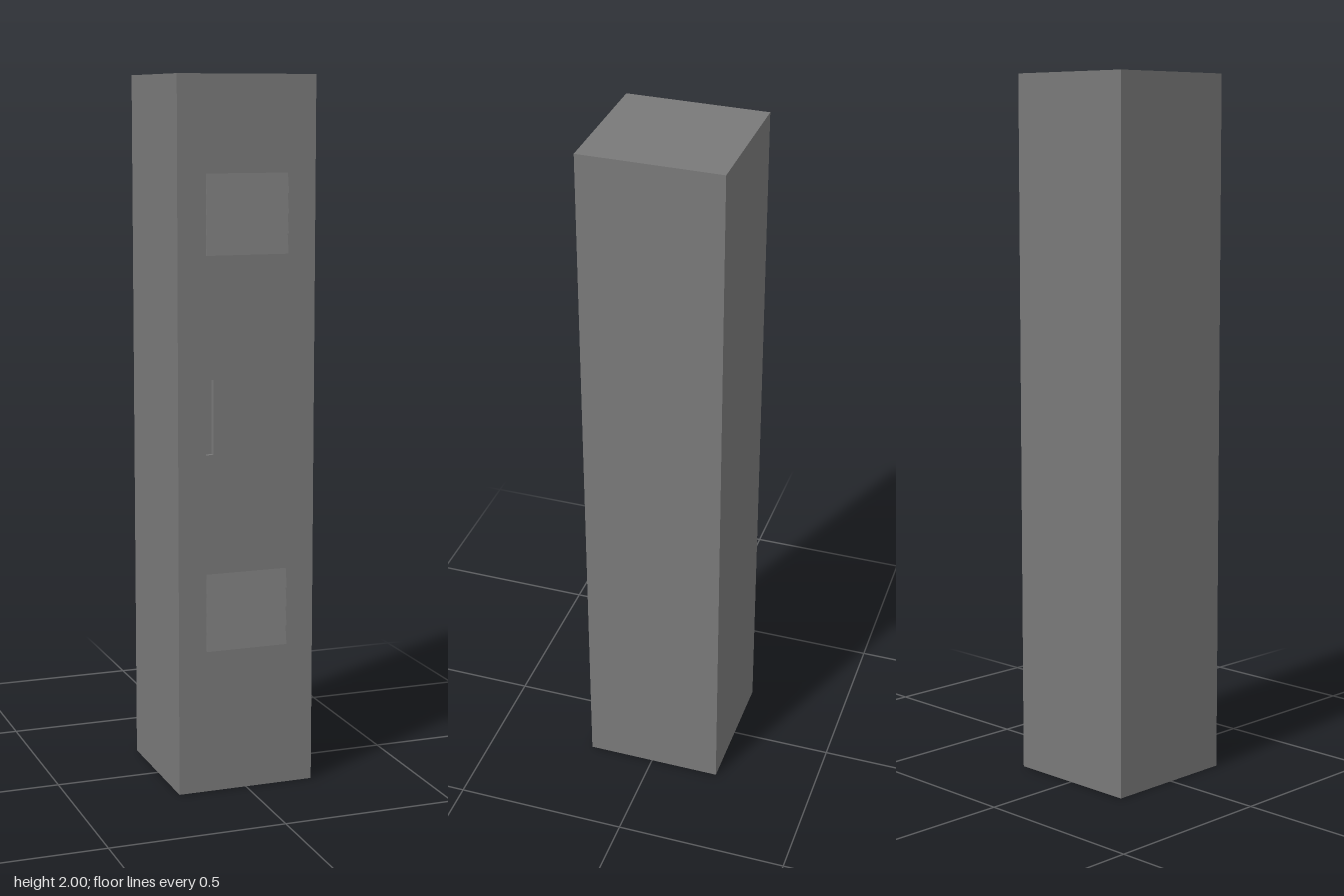
import * as THREE from 'three';

const FRONT = 0.195; // z of the door face
const RECESS = 0.015; // depth of the handle slot and thickness of the door
const material = new THREE.MeshStandardMaterial({ color: 0x797979, flatShading: true });

function addMesh(parent, name, geometry, x, y, z) {
  const mesh = new THREE.Mesh(geometry, material);
  mesh.name = name;
  mesh.position.set(x, y, z);
  parent.add(mesh);
}

// Closed rectangle from its lower left corner
function traceRect(path, x, y, width, height) {
  path.moveTo(x, y);
  path.lineTo(x + width, y);
  path.lineTo(x + width, y + height);
  path.lineTo(x, y + height);
  path.closePath();
  return path;
}

// Wedge-shaped slat: flush at the top, standing out at the bottom
function slatGeometry(width, height, depth) {
  const profile = new THREE.Shape();
  profile.moveTo(0, 0);
  profile.lineTo(depth, 0);
  profile.lineTo(0, height);
  profile.closePath();
  const geometry = new THREE.ExtrudeGeometry(profile, { depth: width, bevelEnabled: false });
  geometry.rotateY(-Math.PI / 2);
  geometry.translate(width / 2, 0, 0);
  return geometry;
}

export function createModel() {
  const locker = new THREE.Group();
  locker.name = 'locker';

  // Cabinet body behind the door; its front closes the handle slot
  const depth = 0.4 - RECESS;
  addMesh(locker, 'cabinet', new THREE.BoxGeometry(0.4, 2, depth), 0, 1, FRONT - RECESS - depth / 2);

  // Door with a recessed handle slot
  const door = traceRect(new THREE.Shape(), -0.2, 0, 0.4, 2);
  door.holes.push(traceRect(new THREE.Path(), -0.12, 0.968, 0.022, 0.209));
  const doorGeometry = new THREE.ExtrudeGeometry(door, { depth: RECESS, bevelEnabled: false });
  addMesh(locker, 'door', doorGeometry, 0, 0, FRONT - RECESS);

  // Upper and lower ventilation louvres, four slats each
  const pitch = 0.055;
  const slat = slatGeometry(0.237, pitch, 0.009);
  for (const [name, base] of [['upperVent', 1.516], ['lowerVent', 0.411]]) {
    const vent = new THREE.Group();
    vent.name = name;
    vent.position.set(0, base, FRONT);
    for (let i = 0; i < 4; i++) addMesh(vent, 'slat', slat, 0, i * pitch, 0);
    locker.add(vent);
  }

  return locker;
}
